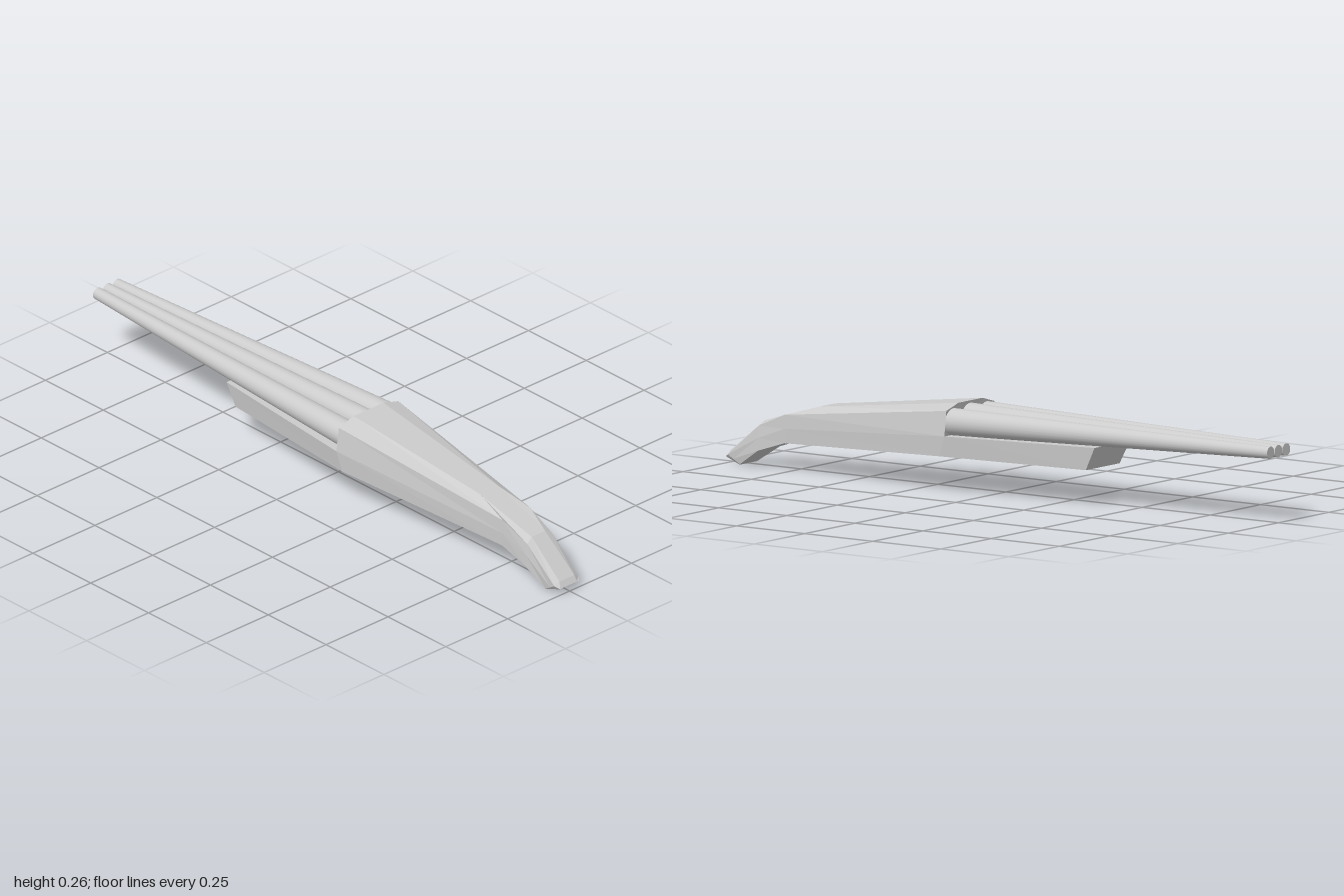
import * as THREE from 'three';

const material = new THREE.MeshStandardMaterial({ color: 0xcccccc, flatShading: true });
const smooth = new THREE.MeshStandardMaterial({ color: 0xcccccc });

// Closed hull through half-sections [x, y, z], listed front to back, mirrored in x
function loft(name, halves) {
  const rings = halves.map(h => [...h, ...h.map(([x, y, z]) => [-x, y, z]).reverse()]);
  const n = rings[0].length;
  const pos = [];
  const tri = (a, b, c) => pos.push(...a, ...b, ...c);
  for (let i = 0; i + 1 < rings.length; i++) {
    for (let j = 0; j < n; j++) {
      const k = (j + 1) % n;
      const a = rings[i][j], b = rings[i][k], c = rings[i + 1][j], d = rings[i + 1][k];
      tri(a, c, b);
      tri(b, c, d);
    }
  }
  const first = rings[0], last = rings[rings.length - 1];
  for (let j = 1; j + 1 < n; j++) {
    tri(first[0], first[j], first[j + 1]);
    tri(last[0], last[j + 1], last[j]);
  }
  const geo = new THREE.BufferGeometry();
  geo.setAttribute('position', new THREE.Float32BufferAttribute(pos, 3));
  geo.computeVertexNormals();
  const mesh = new THREE.Mesh(geo, material);
  mesh.name = name;
  return mesh;
}

// Tapered rod between two points
function rod(name, from, to, r0, r1) {
  const dir = to.clone().sub(from);
  const mesh = new THREE.Mesh(new THREE.CylinderGeometry(r1, r0, dir.length(), 24), smooth);
  mesh.position.copy(from).add(to).multiplyScalar(0.5);
  mesh.quaternion.setFromUnitVectors(new THREE.Vector3(0, 1, 0), dir.normalize());
  mesh.name = name;
  return mesh;
}

export function createModel() {
  const group = new THREE.Group();

  // Drooping faceted nose; each section: bottom, middle, shoulder, top
  group.add(loft('body', [
    [[0.043, 0, 0.945], [0.04, 0.011, 0.975], [0.038, 0.02, 1], [0.03, 0.021, 1]],
    [[0.045, 0.002, 0.943], [0.047, 0.016, 0.966], [0.048, 0.028, 0.985], [0.03, 0.038, 0.988]],
    [[0.055, 0.05, 0.87], [0.054, 0.088, 0.87], [0.05, 0.125, 0.87], [0.027, 0.138, 0.865]],
    [[0.057, 0.082, 0.77], [0.058, 0.125, 0.77], [0.056, 0.167, 0.77], [0.037, 0.2, 0.655]],
    [[0.125, 0.108, 0.15], [0.13, 0.17, 0.13], [0.12, 0.245, 0.13], [0.06, 0.262, 0.13]],
  ]));

  // Tray under the rods
  group.add(loft('tray', [
    [[0.125, 0.108, 0.15], [0.13, 0.17, 0.13]],
    [[0.084, 0.108, -0.355], [0.088, 0.178, -0.39]],
  ]));

  // Three converging tapered rods
  for (const s of [-1, 0, 1]) {
    group.add(rod(['rightRod', 'middleRod', 'leftRod'][s + 1],
      new THREE.Vector3(s * 0.083, s ? 0.208 : 0.214, 0.135),
      new THREE.Vector3(s * 0.039, 0.214, -1), 0.041, 0.0185));
  }
  return group;
}
